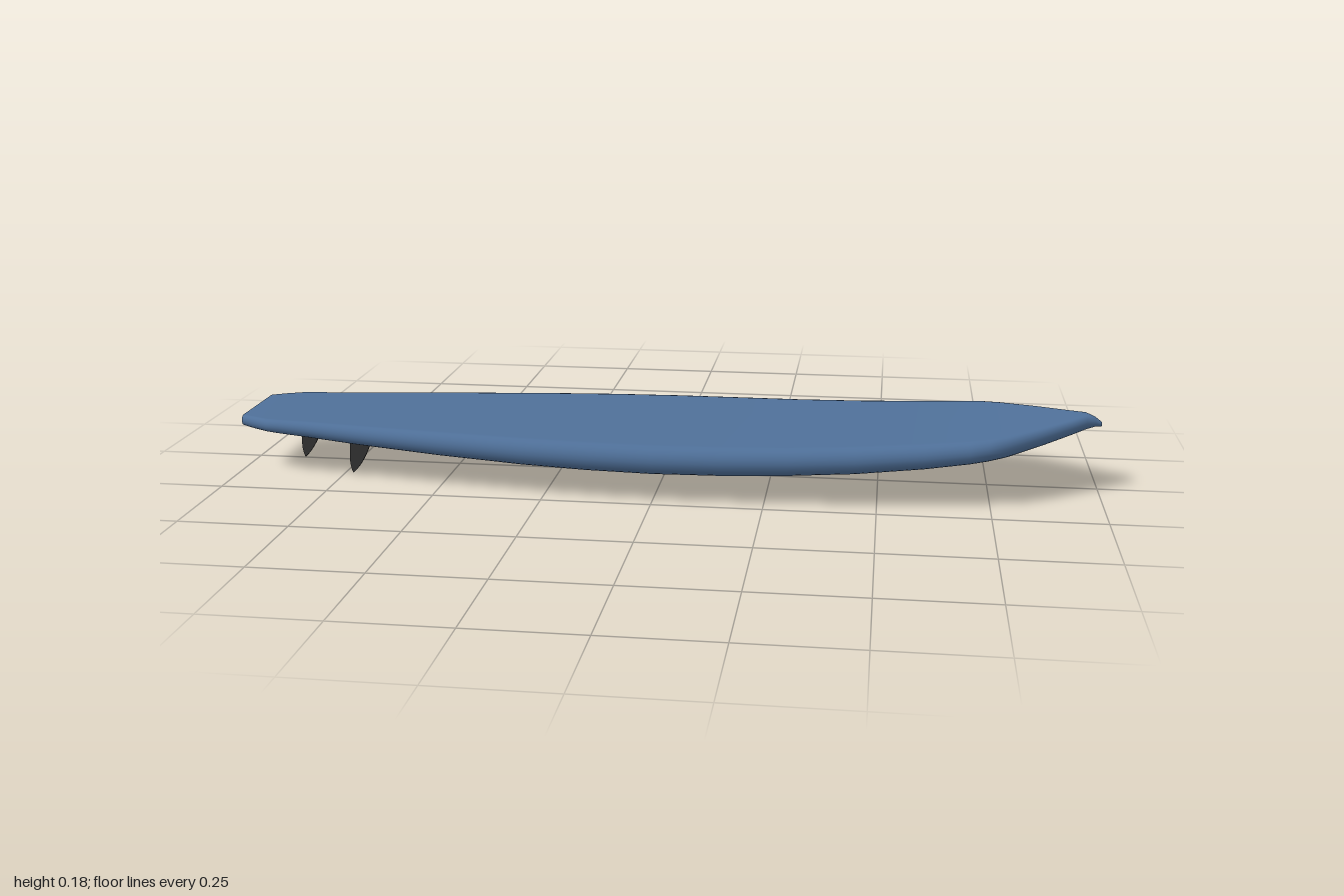
import * as THREE from 'three';

const boardMat = new THREE.MeshStandardMaterial({ color: 0x4f7099, side: THREE.DoubleSide });
const finMat = new THREE.MeshStandardMaterial({ color: 0x333333, side: THREE.DoubleSide });

// Stations from tail to nose: x, half width, bottom y, deck y
const STATIONS = [
  [-1, 0.105, 0.104, 0.129], [-0.97, 0.12, 0.101, 0.13], [-0.93, 0.138, 0.099, 0.13],
  [-0.9, 0.144, 0.097, 0.13], [-0.83, 0.152, 0.092, 0.13], [-0.7, 0.174, 0.084, 0.13],
  [-0.5, 0.203, 0.074, 0.13], [-0.3, 0.229, 0.067, 0.13], [-0.15, 0.243, 0.064, 0.13],
  [0, 0.25, 0.063, 0.13], [0.15, 0.247, 0.064, 0.131], [0.3, 0.239, 0.068, 0.133],
  [0.45, 0.227, 0.075, 0.138], [0.6, 0.211, 0.088, 0.146], [0.7, 0.197, 0.1, 0.153],
  [0.74, 0.188, 0.106, 0.156], [0.78, 0.17, 0.112, 0.159], [0.86, 0.113, 0.126, 0.167],
  [0.93, 0.057, 0.139, 0.174], [0.965, 0.028, 0.146, 0.178], [0.985, 0.014, 0.15, 0.171],
  [1, 0.005, 0.15, 0.16],
];
const RAIL = 10; // steps around each rounded rail

// Flat deck and bottom joined by half-round rails
function section([x, w, bottom, top]) {
  const ry = (top - bottom) / 2, rz = Math.min(ry, w), ring = [];
  for (const side of [1, -1]) {
    for (let i = 0; i <= RAIL; i++) {
      const a = side * (-Math.PI / 2 + (Math.PI * i) / RAIL);
      ring.push([x, bottom + ry + ry * Math.sin(a), side * (w - rz + rz * Math.cos(a))]);
    }
  }
  return ring;
}

function boardGeometry() {
  const pos = [], index = [], n = 2 * (RAIL + 1);
  for (const s of STATIONS) pos.push(...section(s).flat());
  for (let i = 0; i < STATIONS.length - 1; i++) {
    for (let j = 0; j < n; j++) {
      const a = i * n + j, b = i * n + ((j + 1) % n);
      index.push(a, a + n, b, b, a + n, b + n);
    }
  }
  // End caps with their own vertices so the rims stay crisp
  for (const [s, nose] of [[STATIONS[0], false], [STATIONS.at(-1), true]]) {
    const start = pos.length / 3;
    pos.push(...section(s).flat());
    for (let j = 1; j < n - 1; j++) {
      index.push(start, start + (nose ? j + 1 : j), start + (nose ? j : j + 1));
    }
  }
  const geo = new THREE.BufferGeometry();
  geo.setAttribute('position', new THREE.Float32BufferAttribute(pos, 3));
  geo.setIndex(index);
  geo.computeVertexNormals();
  return geo;
}

// Swept-back fin blade, tip at local y = 0
function finGeometry() {
  const s = new THREE.Shape();
  s.moveTo(0.05, 0.1);
  s.quadraticCurveTo(0.03, 0.03, -0.003, 0);
  s.quadraticCurveTo(-0.012, 0.02, -0.009, 0.05);
  s.quadraticCurveTo(-0.008, 0.08, -0.005, 0.1);
  s.closePath();
  const geo = new THREE.ExtrudeGeometry(s, { depth: 0.006, bevelEnabled: false, curveSegments: 8 });
  return geo.translate(0, 0, -0.003);
}

export function createModel() {
  const model = new THREE.Group();
  model.name = 'surfboard';

  const board = new THREE.Mesh(boardGeometry(), boardMat);
  board.name = 'board';
  model.add(board);

  // One centre fin behind a pair of side fins
  const fin = finGeometry();
  for (const [name, x, y, z] of [
    ['centreFin', -0.885, 0, -0.005],
    ['leftFin', -0.725, 0.003, 0.115],
    ['rightFin', -0.725, 0.003, -0.125],
  ]) {
    const mesh = new THREE.Mesh(fin, finMat);
    mesh.name = name;
    mesh.position.set(x, y, z);
    model.add(mesh);
  }
  return model;
}
